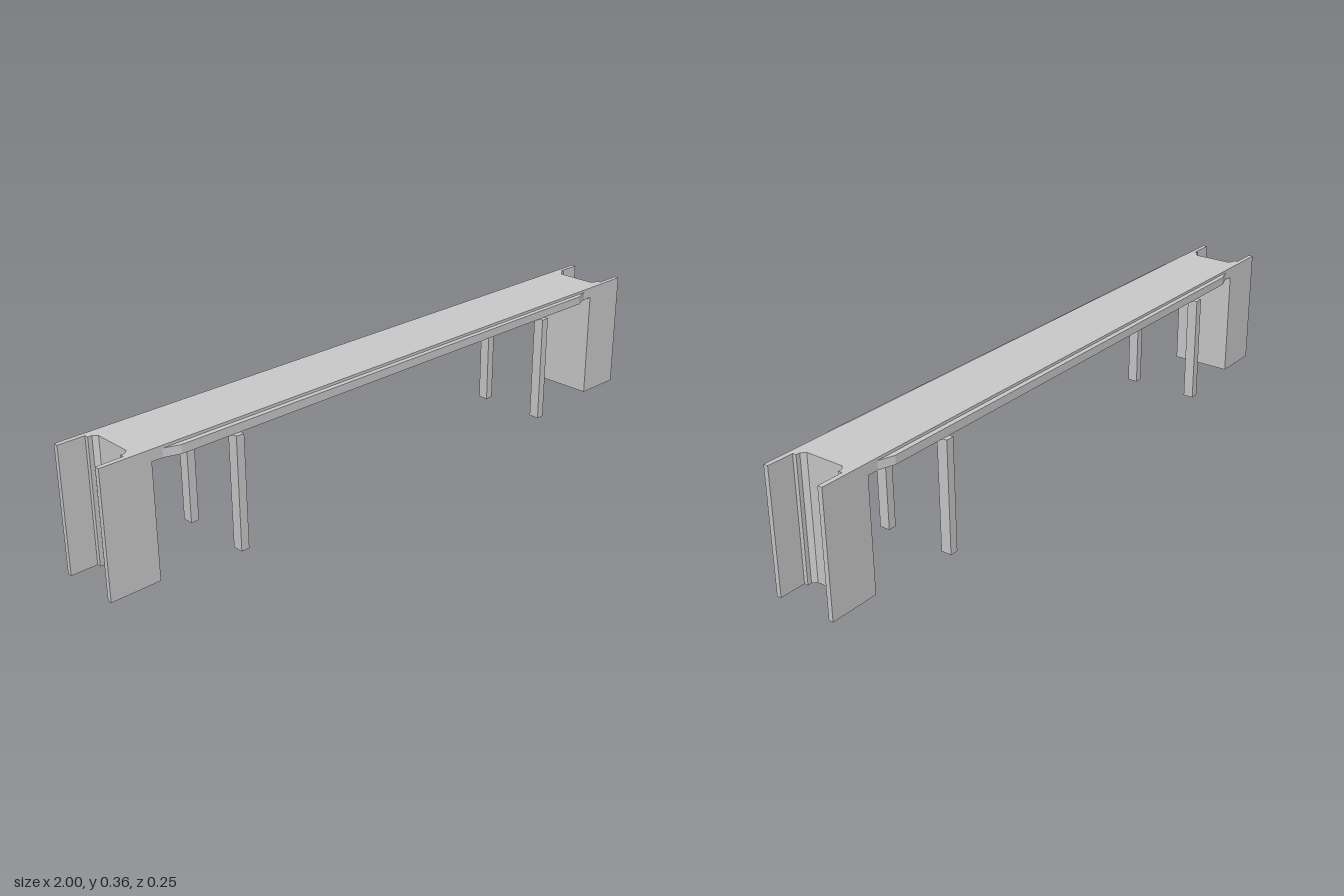
import * as THREE from 'three';

const SKEW = 0.005; // the bridge axis runs slightly off the x direction

export function createModel() {
  const bridge = new THREE.Group();
  bridge.name = 'bridge';
  const material = new THREE.MeshStandardMaterial({ color: 0xcccccc, flatShading: true });

  // Extrudes a plan outline, given as half of a symmetric shape in (x, z), from y0 to y1.
  function addPlan(name, half, y0, y1) {
    const mirrored = half.map(([x, z]) => [x, -z]).reverse();
    const shape = new THREE.Shape([...half, ...mirrored].map(([x, z]) => new THREE.Vector2(x, z)));
    const geometry = new THREE.ExtrudeGeometry(shape, { depth: y1 - y0, bevelEnabled: false });
    geometry.rotateX(-Math.PI / 2).translate(0, y0, 0);
    add(name, geometry);
  }

  function add(name, geometry) {
    const p = geometry.attributes.position;
    for (let i = 0; i < p.count; i++) p.setZ(i, p.getZ(i) + SKEW * p.getX(i));
    geometry.computeVertexNormals();
    const mesh = new THREE.Mesh(geometry, material);
    mesh.name = name;
    bridge.add(mesh);
  }

  // Main deck slab between the abutments
  addPlan('deck', [[-0.853, 0.095], [0.853, 0.095]], 0.33, 0.363);

  for (const side of [-1, 1]) {
    const end = side > 0 ? 'left' : 'right';

    // U-shaped abutment: cross wall, stepped inner corners and thin wing walls
    addPlan(end + 'Abutment', [
      [0.853, 0.095], [1, 0.095], [1, 0.081], [0.922, 0.081],
      [0.922, 0.069], [0.91, 0.069], [0.898, 0.058],
    ].map(([x, z]) => [x * side, z]), 0, 0.363);

    // Pair of square piers under the deck edges
    for (const face of [-1, 1]) {
      const pier = new THREE.BoxGeometry(0.025, 0.33, 0.032);
      pier.translate(side > 0 ? 0.592 : -0.606, 0.165, face * 0.107);
      add(end + (face > 0 ? 'Front' : 'Back') + 'Pier', pier);
    }

    // Lower ledge along each deck edge, tapered at both ends
    const ledge = new THREE.Shape([
      [-0.82, 0.095], [-0.775, 0.11], [0.775, 0.11], [0.82, 0.095],
    ].map(([x, z]) => new THREE.Vector2(x, z * side)));
    const geometry = new THREE.ExtrudeGeometry(ledge, { depth: 0.025, bevelEnabled: false });
    geometry.rotateX(-Math.PI / 2).translate(0, 0.33, 0);
    add(side > 0 ? 'backLedge' : 'frontLedge', geometry);
  }
  return bridge;
}
